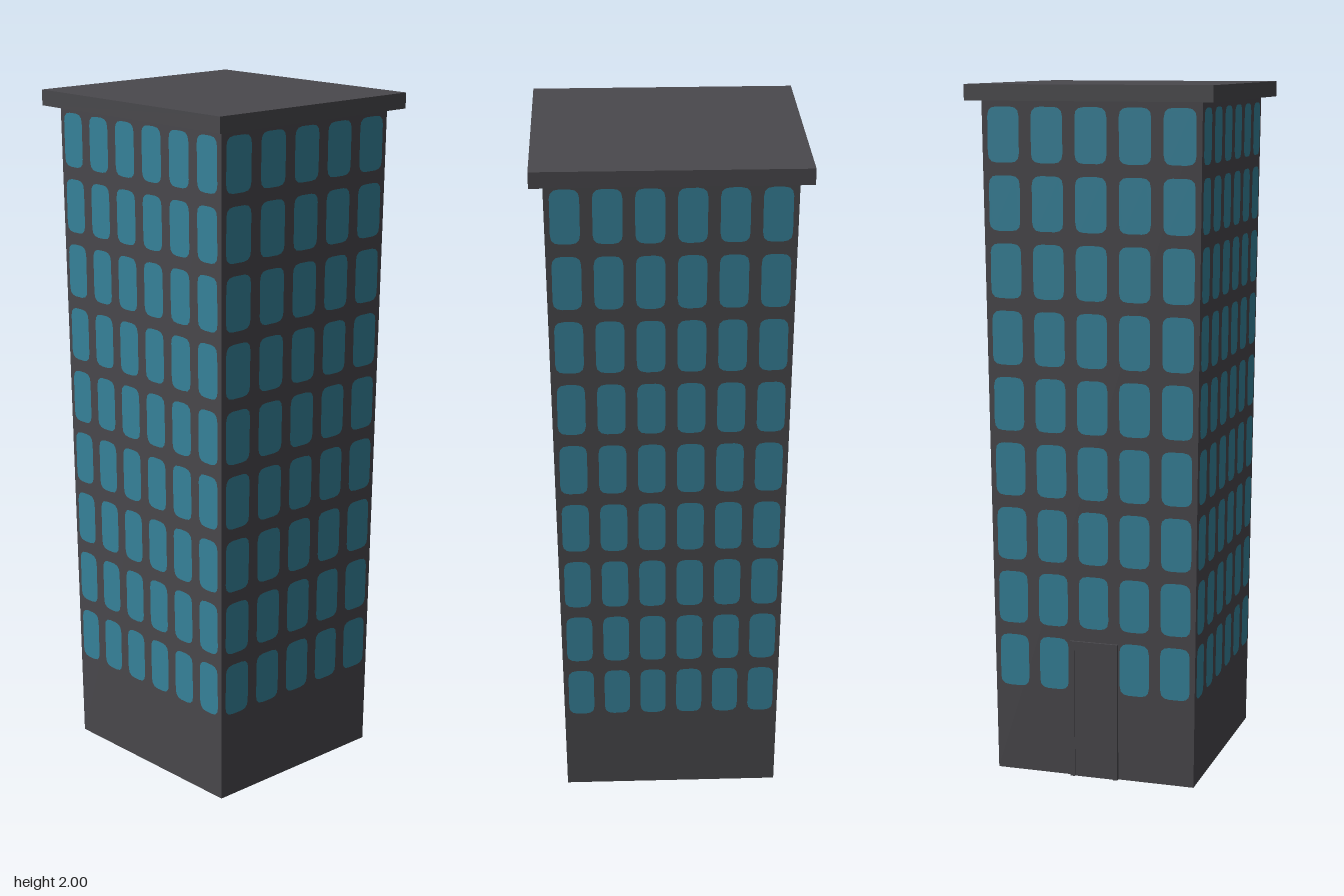
import * as THREE from 'three';
import { mergeGeometries } from 'three/addons/utils/BufferGeometryUtils.js';

const BODY_TOP = 1.955;
// half width and half depth of the body, which flares slightly towards the roof
const halfX = (y) => 0.299 + 0.02 * (y / BODY_TOP);
const halfZ = (y) => 0.317 + 0.022 * (y / BODY_TOP);

// one window outline with rounded corners, as wide as w and as high as h
function windowShape(x, y, w, h, r) {
  const a = w / 2, b = h / 2, s = new THREE.Shape();
  s.moveTo(x - a + r, y - b);
  s.lineTo(x + a - r, y - b);
  s.quadraticCurveTo(x + a, y - b, x + a, y - b + r);
  s.lineTo(x + a, y + b - r);
  s.quadraticCurveTo(x + a, y + b, x + a - r, y + b);
  s.lineTo(x - a + r, y + b);
  s.quadraticCurveTo(x - a, y + b, x - a, y + b - r);
  s.lineTo(x - a, y - b + r);
  s.quadraticCurveTo(x - a, y - b, x - a + r, y - b);
  return s;
}

// a grid of windows laid on a leaning facade; across and out give its half size by height
function facadeWindows(columns, spacing, width, across, out, skip) {
  const panes = [];
  for (let row = 0; row < 9; row++) {
    const y = 0.337 + row * 0.1905, half = across(y);
    for (let col = 0; col < columns; col++) {
      if (skip(row, col)) continue;
      const x = (col - (columns - 1) / 2) * spacing * half;
      panes.push(new THREE.ShapeGeometry(windowShape(x, y, width * half, 0.155, 0.026), 3));
    }
  }
  const geo = mergeGeometries(panes);
  const p = geo.attributes.position;
  for (let i = 0; i < p.count; i++) p.setZ(i, out(p.getY(i)) + 0.0015);
  geo.computeVertexNormals();
  return geo;
}

export function createModel() {
  const group = new THREE.Group();
  const wall = new THREE.MeshStandardMaterial({ color: 0x4a494d });
  wall.name = 'dark grey wall';
  const glass = new THREE.MeshStandardMaterial({ color: 0x37849c });
  glass.name = 'teal glass';

  const add = (name, geo, mat, parent = group) => {
    const mesh = new THREE.Mesh(geo, mat);
    mesh.name = name;
    parent.add(mesh);
    return mesh;
  };

  // tapered body
  const body = new THREE.BoxGeometry(2, BODY_TOP, 2).translate(0, BODY_TOP / 2, 0);
  const p = body.attributes.position;
  for (let i = 0; i < p.count; i++) {
    const y = p.getY(i);
    p.setXYZ(i, p.getX(i) * halfX(y), y, p.getZ(i) * halfZ(y));
  }
  body.computeVertexNormals();
  add('towerBody', body, wall);

  // overhanging flat roof
  add('roofSlab', new THREE.BoxGeometry(0.714, 0.045, 0.75), wall).position.y = 1.9775;

  // windows on all four sides; the door takes the place of one at the back
  const none = () => false;
  const atDoor = (row, col) => row === 0 && col === 2;
  const sides = [
    ['frontWindows', 5, 0.402, 0.29, halfX, halfZ, none],
    ['leftWindows', 6, 0.335, 0.236, halfZ, halfX, none],
    ['backWindows', 5, 0.402, 0.29, halfX, halfZ, atDoor],
    ['rightWindows', 6, 0.335, 0.236, halfZ, halfX, none],
  ];
  sides.forEach(([name, ...spec], i) => {
    add(name, facadeWindows(...spec), glass).rotation.y = i * Math.PI / 2;
  });

  // back door: a frame around a slightly recessed panel
  const door = new THREE.Group();
  door.name = 'backDoor';
  door.rotation.y = Math.PI;
  group.add(door);
  const frame = new THREE.Shape([
    [-0.072, 0], [-0.058, 0], [-0.058, 0.397], [0.058, 0.397],
    [0.058, 0], [0.072, 0], [0.072, 0.41], [-0.072, 0.41],
  ].map(([x, y]) => new THREE.Vector2(x, y)));
  const frameGeo = new THREE.ExtrudeGeometry(frame, { depth: 0.02, bevelEnabled: false });
  add('doorFrame', frameGeo, wall, door).position.z = 0.308;
  add('doorPanel', new THREE.BoxGeometry(0.116, 0.397, 0.014), wall, door)
    .position.set(0, 0.1985, 0.317);

  return group;
}
